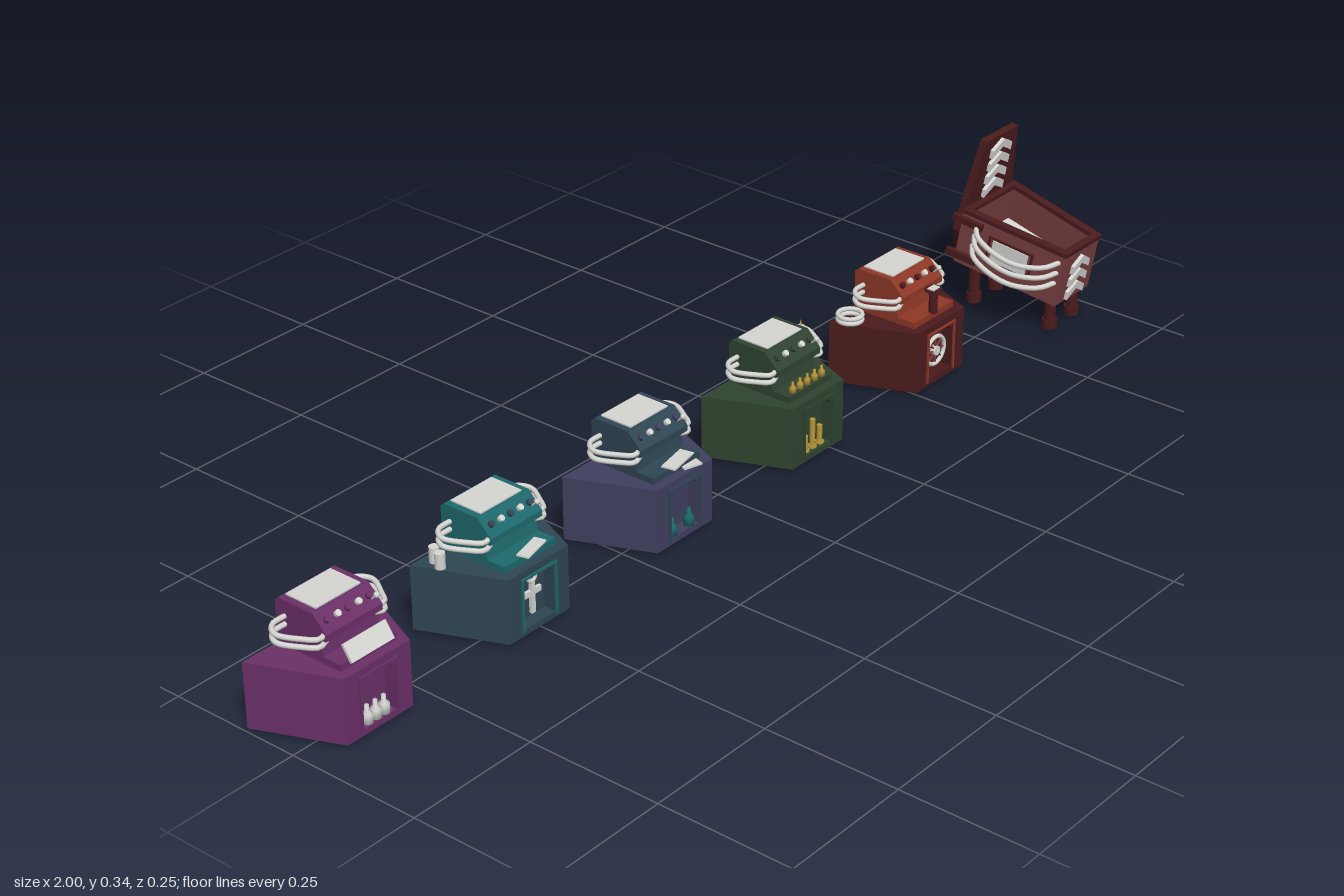
import * as THREE from 'three';

const mat = (name, color, side = THREE.FrontSide) => {
  const m = new THREE.MeshStandardMaterial({ color, side });
  m.name = name;
  return m;
};
const M = {
  purple: mat('purple', 0x6b3068), slate: mat('slate', 0x2f4654), teal: mat('teal', 0x1e696c),
  indigo: mat('indigo', 0x413f60), green: mat('green', 0x2f4430), darkRed: mat('dark red', 0x4a1b1d),
  rust: mat('rust', 0x8f3826), rose: mat('rose brown', 0x7a4040), light: mat('light grey', 0xd6d6d3),
  gold: mat('gold', 0xb8963a),
};

function add(parent, name, geo, material, x = 0, y = 0, z = 0, rx = 0, ry = 0, rz = 0) {
  const m = new THREE.Mesh(geo, material);
  m.name = name;
  m.position.set(x, y, z);
  m.rotation.set(rx, ry, rz);
  parent.add(m);
  return m;
}
const box = (w, h, d) => new THREE.BoxGeometry(w, h, d);
const cyl = (r, h, r2 = r, n = 12) => new THREE.CylinderGeometry(r2, r, h, n);
const shapeOf = pts => new THREE.Shape(pts.map(p => new THREE.Vector2(...p)));
const extrude = (shape, depth) => new THREE.ExtrudeGeometry(shape, { depth, bevelEnabled: false });
const tube = (pts, r) => new THREE.TubeGeometry(
  new THREE.CatmullRomCurve3(pts.map(p => new THREE.Vector3(...p))), 20, r, 8);

// Plan outline [x, z] raised from y0 to y1
function slab(pts, y0, y1, hole) {
  const flip = list => list.map(([x, z]) => [x, -z]);
  const s = shapeOf(flip(pts));
  if (hole) s.holes.push(new THREE.Path(flip(hole).map(p => new THREE.Vector2(...p))));
  return extrude(s, y1 - y0).rotateX(-Math.PI / 2).translate(0, y0, 0);
}
// Side outline [z, y] spread across a width in x
const acrossX = (pts, w) => extrude(shapeOf(pts), w).rotateY(-Math.PI / 2).translate(w / 2, 0, 0);

function bottle(parent, material, x, y, z, h) {
  const pts = [[0, 0], [0.3, 0], [0.3, 0.5], [0.12, 0.68], [0.12, 1], [0, 1]]
    .map(([r, t]) => new THREE.Vector2(r * h, t * h));
  add(parent, 'bottle', new THREE.LatheGeometry(pts, 10), material, x, y, z);
}

function consoleDesk(x, name, bodyMat, topMat, dress) {
  const g = new THREE.Group();
  g.name = name;
  g.position.x = x;
  // Wedge-shaped cabinet with an open niche in the narrow front
  const back = [[0.133, -0.097], [-0.133, -0.097]];
  const plain = [[-0.07, 0.053], [0.07, 0.053], ...back];
  const notched = [[-0.07, 0.053], [-0.036, 0.053], [-0.036, 0.03], [0.036, 0.03],
    [0.036, 0.053], [0.07, 0.053], ...back];
  add(g, 'cabinetBase', slab(plain, 0.007, 0.018), bodyMat);
  add(g, 'cabinetMiddle', slab(notched, 0.018, 0.108), bodyMat);
  add(g, 'cabinetTop', slab(plain, 0.108, 0.125), bodyMat);
  for (const s of [-1, 1]) {
    add(g, 'nicheCorner', extrude(shapeOf(s > 0 ? [[0.036, 0.108], [0.022, 0.108], [0.036, 0.094]]
      : [[-0.036, 0.108], [-0.036, 0.094], [-0.022, 0.108]]), 0.022), bodyMat, 0, 0, 0.03);
    add(g, 'nicheFrame', box(0.004, 0.095, 0.004), topMat, s * 0.039, 0.0625, 0.054);
  }
  add(g, 'nicheFrameTop', box(0.082, 0.004, 0.004), topMat, 0, 0.11, 0.054);
  // Control head with flat top and slanted panel
  add(g, 'controlHead', acrossX([[-0.097, 0.125], [0.002, 0.125], [-0.004, 0.16], [0.01, 0.167],
    [0.01, 0.178], [-0.018, 0.206], [-0.09, 0.206], [-0.097, 0.2]], 0.118), topMat);
  add(g, 'screen', box(0.094, 0.004, 0.064), M.light, 0, 0.2065, -0.054);
  for (let i = -2; i <= 2; i++)
    add(g, 'knob', cyl(0.0055, 0.008), i % 2 ? M.light : bodyMat, i * 0.022, 0.194, -0.003, Math.PI / 4);
  add(g, 'leverStem', cyl(0.0015, 0.02), M.light, 0.047, 0.192, 0.004, Math.PI / 4);
  add(g, 'leverKnob', new THREE.SphereGeometry(0.005, 10, 8), M.light, 0.047, 0.199, 0.011);
  add(g, 'deskLip', box(0.118, 0.012, 0.036), topMat, 0, 0.131, 0.018);
  // Paired hoses around both flanks
  for (const s of [-1, 1]) for (const y of [0.164, 0.178])
    add(g, 'hose', tube([[s * 0.055, y, -0.078], [s * 0.088, y, -0.075], [s * 0.102, y - 0.002, -0.055],
      [s * 0.085, y - 0.004, -0.018], [s * 0.068, y - 0.004, 0.004], [s * 0.05, y - 0.002, 0]], 0.0045), M.light);
  dress(g);
  return g;
}

// Fittings for each desk
function dressPurple(g) {
  add(g, 'leaningPage', box(0.09, 0.032, 0.005), M.light, 0, 0.15, 0.036, -0.6);
  for (const i of [-1, 0, 1]) bottle(g, M.light, i * 0.018, 0.018, 0.043, 0.032);
  bottle(g, M.purple, 0.105, 0.125, -0.07, 0.03);
}
function dressTeal(g) {
  add(g, 'crossPost', box(0.009, 0.06, 0.006), M.light, 0, 0.058, 0.038);
  add(g, 'crossArm', box(0.038, 0.01, 0.006), M.light, 0, 0.066, 0.038);
  add(g, 'crossLoop', new THREE.TorusGeometry(0.009, 0.003, 8, 16), M.light, 0, 0.094, 0.038);
  add(g, 'paper', box(0.06, 0.003, 0.022), M.light, 0.01, 0.1385, 0.03, 0, 0.25);
  for (const [x, z] of [[-0.1, -0.075], [-0.108, -0.055], [0.092, -0.045]])
    add(g, 'jar', cyl(0.009, 0.028), M.light, x, 0.139, z);
  bottle(g, M.teal, 0.1, 0.125, -0.075, 0.038);
}
function dressIndigo(g) {
  for (const s of [-1, 1]) bottle(g, M.teal, s * 0.022, 0.018, 0.043, 0.032);
  add(g, 'paper', box(0.065, 0.003, 0.026), M.light, 0.012, 0.1385, 0.028, 0, 0.2);
  add(g, 'paper', box(0.035, 0.003, 0.02), M.light, 0.03, 0.127, 0.04, 0, -0.3);
}
function dressGreen(g) {
  [0.03, 0.055, 0.035].forEach((h, i) => {
    add(g, 'nicheCandle', cyl(0.005, h), M.gold, (i - 1) * 0.02, 0.018 + h / 2, 0.041);
    add(g, 'candleDish', cyl(0.008, 0.004), M.gold, (i - 1) * 0.02, 0.02, 0.041);
  });
  for (let i = -2; i <= 2; i++) bottle(g, M.gold, i * 0.02, 0.137, 0.028, 0.02);
  add(g, 'tallCandle', cyl(0.007, 0.05), M.light, 0.107, 0.15, -0.07);
  add(g, 'flame', cyl(0.003, 0.012, 0.0004), M.gold, 0.107, 0.18, -0.07);
}
function dressRed(g) {
  // Spoked wheel in the niche
  add(g, 'wheelRim', new THREE.TorusGeometry(0.027, 0.004, 8, 24), M.light, 0, 0.062, 0.042);
  add(g, 'wheelHub', cyl(0.009, 0.01), M.light, 0, 0.062, 0.042, Math.PI / 2);
  for (let i = 0; i < 4; i++)
    add(g, 'wheelSpoke', box(0.052, 0.003, 0.003), M.rose, 0, 0.062, 0.042, 0, 0, i * Math.PI / 4);
  add(g, 'stand', cyl(0.008, 0.045), M.darkRed, 0, 0.157, 0.034);
  add(g, 'standPlate', cyl(0.016, 0.004), M.darkRed, 0, 0.181, 0.034);
  add(g, 'standCap', box(0.02, 0.002, 0.014), M.light, 0, 0.184, 0.034);
  for (const y of [0.13, 0.139])
    add(g, 'coil', new THREE.TorusGeometry(0.022, 0.0045, 8, 20), M.light, -0.105, y, -0.072, Math.PI / 2);
}

function chevrons(parent, n, y0, step, w, z) {
  for (let i = 0; i < n; i++) {
    const y = y0 + i * step, h = step * 0.6;
    add(parent, 'chevron', extrude(shapeOf([[-w, y], [0, y + h], [w, y], [w, y + h], [0, y + 2 * h], [-w, y + h]]),
      0.008), M.light, 0, 0, z);
  }
}

function casketChair() {
  const g = new THREE.Group();
  g.name = 'casketChair';
  g.position.x = 0.91;
  // Legs with heavier feet
  for (const s of [-1, 1]) for (const [z, h] of [[0.082, 0.085], [-0.09, 0.11]]) {
    add(g, 'leg', cyl(0.011, h), M.darkRed, s * 0.036, h / 2, z);
    add(g, 'foot', cyl(0.0145, 0.018), M.darkRed, s * 0.036, 0.009, z);
  }
  // Tilted tub and upright lid share one frame
  const t = new THREE.Group();
  t.name = 'tiltedTub';
  t.position.set(0, 0.131, 0.007);
  t.rotation.x = 0.18;
  g.add(t);
  const plan = (f, b, z0, z1) => [[-f, z0], [f, z0], [b, z1], [-b, z1]];
  const inner = plan(0.043, 0.066, 0.096, -0.096);
  add(t, 'tubWalls', slab(plan(0.055, 0.08, 0.108, -0.108), -0.057, 0.05, inner), M.rose);
  add(t, 'tubRim', slab(plan(0.058, 0.083, 0.111, -0.108), 0.05, 0.058, inner), M.darkRed);
  add(t, 'tubBottom', slab(inner, -0.057, -0.02), M.rose);
  add(t, 'seatCushion', slab(plan(0.041, 0.062, 0.092, -0.092), -0.02, -0.01), M.light);
  chevrons(t, 3, -0.052, 0.028, 0.026, 0.107);
  // Lid as backrest, widest near seat height
  const lid = k => shapeOf([[-0.055 * k, -0.063], [0.055 * k, -0.063], [0.084 * k, 0.01],
    [0.05 * k, 0.19], [-0.05 * k, 0.19], [-0.084 * k, 0.01]]);
  add(t, 'lid', extrude(lid(1), 0.014), M.darkRed, 0, 0, -0.122);
  chevrons(t, 4, 0.065, 0.028, 0.03, -0.109);
  // Side windows and hinge straps
  for (const s of [-1, 1]) {
    const side = new THREE.Group();
    side.name = 'sidePanel';
    side.position.x = s * 0.0675;
    side.rotation.y = -s * 0.115;
    t.add(side);
    for (const k of [-1, 1]) {
      add(side, 'windowFrame', box(0.005, 0.004, 0.094), M.darkRed, s * 0.001, k * 0.025, 0);
      add(side, 'windowFrame', box(0.005, 0.054, 0.004), M.darkRed, s * 0.001, 0, k * 0.045);
    }
    add(side, 'windowPane', box(0.006, 0.044, 0.074), M.light, s * 0.001, 0, 0);
    for (const y of [0.037, -0.038])
      add(side, 'hingeStrap', box(0.01, 0.013, 0.062), M.darkRed, s * 0.004, y, -0.094);
  }
  // Hoses looping along the right flank
  for (const y of [0.03, 0.008, -0.014])
    add(t, 'sideHose', tube([[-0.05, y + 0.004, 0.098], [-0.088, y, 0.085], [-0.112, y - 0.006, 0.045],
      [-0.116, y - 0.006, 0], [-0.102, y, -0.055], [-0.072, y + 0.004, -0.08]], 0.005), M.light);
  return g;
}

export function createModel() {
  const root = new THREE.Group();
  root.name = 'consoleRow';
  [['purpleDesk', M.purple, M.purple, dressPurple], ['tealDesk', M.slate, M.teal, dressTeal],
    ['indigoDesk', M.indigo, M.slate, dressIndigo], ['greenDesk', M.green, M.green, dressGreen],
    ['redDesk', M.darkRed, M.rust, dressRed]]
    .forEach(([name, body, top, dress], i) => root.add(consoleDesk(-0.867 + i * 0.358, name, body, top, dress)));
  root.add(casketChair());
  return root;
}
